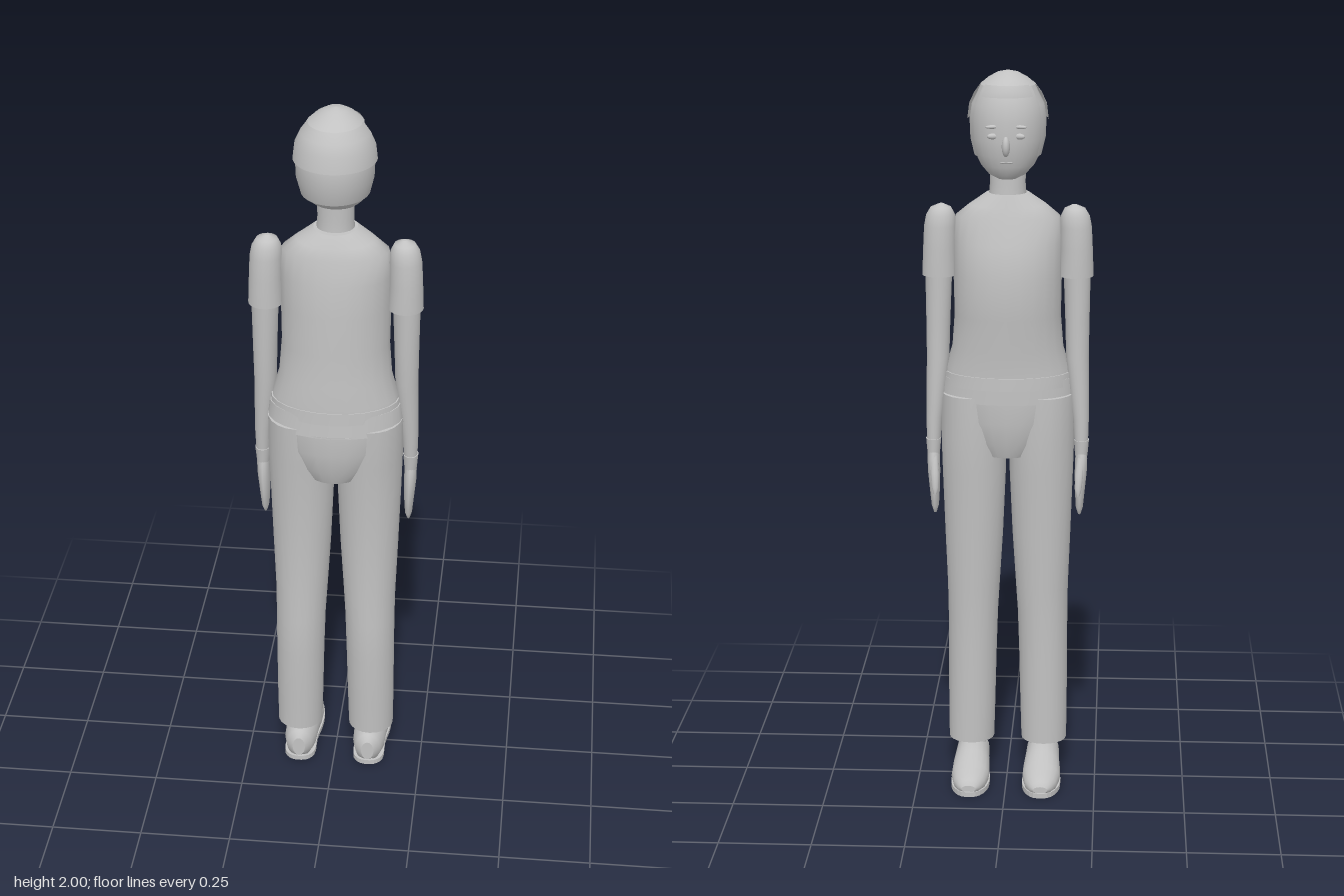
import * as THREE from 'three';

const grey = new THREE.MeshStandardMaterial({ color: 0xc2c2c2, side: THREE.DoubleSide });
grey.name = 'plain grey';

// Smooth skin over elliptical sections [y, cx, cz, rx, rz], listed upwards.
// Angle 0 points to +z; a partial arc gives an open shell.
function loft(sections, { sides = 20, from = 0, to = Math.PI * 2, caps = true } = {}) {
  const pos = [], idx = [];
  const full = to - from > 6.28;
  const n = full ? sides : sides + 1;
  const addRing = ([y, cx, cz, rx, rz]) => {
    const start = pos.length / 3;
    for (let j = 0; j < n; j++) {
      const t = from + ((to - from) * j) / sides;
      pos.push(cx + rx * Math.sin(t), y, cz + rz * Math.cos(t));
    }
    return start;
  };
  sections.forEach(addRing);
  for (let i = 0; i < sections.length - 1; i++) {
    for (let j = 0; j < sides; j++) {
      const k = (j + 1) % n;
      const a = i * n + j, b = i * n + k, c = a + n, d = b + n;
      idx.push(a, b, d, a, d, c);
    }
  }
  // Flat ends with their own vertices
  if (full && caps) {
    for (const [s, up] of [[sections[0], false], [sections[sections.length - 1], true]]) {
      const start = addRing(s);
      const mid = pos.length / 3;
      pos.push(s[1], s[0], s[2]);
      for (let j = 0; j < n; j++) {
        const a = start + j, b = start + ((j + 1) % n);
        if (up) idx.push(a, b, mid); else idx.push(b, a, mid);
      }
    }
  }
  const g = new THREE.BufferGeometry();
  g.setAttribute('position', new THREE.Float32BufferAttribute(pos, 3));
  g.setIndex(idx);
  g.computeVertexNormals();
  return g;
}

export function createModel() {
  const model = new THREE.Group();
  model.name = 'standingPerson';
  const add = (name, geometry, parent = model) => {
    const m = new THREE.Mesh(geometry, grey);
    m.name = name;
    parent.add(m);
    return m;
  };
  const ball = (name, p, r, parent) => {
    const m = add(name, new THREE.SphereGeometry(1, 14, 10), parent);
    m.position.set(...p);
    m.scale.set(...r);
    return m;
  };

  // Shirt, waistband and seat
  add('shirt', loft([
    [1.15, 0, 0.044, 0.172, 0.114], [1.19, 0, 0.045, 0.17, 0.115], [1.25, 0, 0.04, 0.152, 0.115],
    [1.34, 0, 0.034, 0.145, 0.118], [1.45, 0, 0.028, 0.147, 0.122], [1.54, 0, 0.036, 0.147, 0.108],
    [1.61, 0, 0.04, 0.142, 0.09], [1.64, 0, 0.04, 0.105, 0.079], [1.672, 0, 0.037, 0.058, 0.064],
  ], { sides: 24 }));
  add('shirtHem', loft([[1.145, 0, 0.044, 0.177, 0.119], [1.18, 0, 0.044, 0.174, 0.118]], { sides: 24 }));
  add('waistband', loft([[1.105, 0, 0.047, 0.185, 0.118], [1.165, 0, 0.045, 0.178, 0.116]], { sides: 24 }));
  add('seat', loft([
    [0.95, 0, 0.045, 0.085, 0.09], [0.99, 0, 0.046, 0.125, 0.105],
    [1.05, 0, 0.047, 0.162, 0.117], [1.11, 0, 0.047, 0.181, 0.118],
  ], { sides: 24 }));
  add('neck', loft([[1.65, 0, 0.036, 0.052, 0.05], [1.7, 0, 0.036, 0.048, 0.046], [1.79, 0, 0.04, 0.05, 0.048]]));

  // Head with face
  const head = new THREE.Group();
  head.name = 'head';
  model.add(head);
  add('skull', loft([
    [1.715, 0, 0.005, 0.025, 0.025], [1.727, 0, 0.014, 0.05, 0.053], [1.75, 0, 0.028, 0.072, 0.075],
    [1.78, 0, 0.042, 0.088, 0.1], [1.82, 0, 0.048, 0.098, 0.111], [1.87, 0, 0.049, 0.1, 0.111],
    [1.91, 0, 0.048, 0.094, 0.104], [1.95, 0, 0.046, 0.076, 0.086], [1.978, 0, 0.043, 0.05, 0.056],
    [1.99, 0, 0.04, 0.01, 0.01],
  ], { sides: 24 }), head);
  ball('nose', [0, 1.81, -0.073], [0.011, 0.027, 0.018], head);
  ball('mouth', [0, 1.765, -0.045], [0.024, 0.005, 0.008], head);
  for (const s of [1, -1]) {
    ball('eye', [s * 0.034, 1.835, -0.054], [0.017, 0.008, 0.008], head).rotation.y = s * 0.3;
    ball('eyebrow', [s * 0.036, 1.86, -0.055], [0.02, 0.005, 0.007], head).rotation.y = s * 0.3;
  }

  // Hair: short lower layer, longer back layer, crown and fringe
  const arc = (a) => ({ from: -a, to: a, sides: 24 });
  add('lowerHair', loft([
    [1.775, 0, 0.042, 0.09, 0.105], [1.82, 0, 0.048, 0.101, 0.114],
    [1.87, 0, 0.049, 0.103, 0.114], [1.91, 0, 0.048, 0.097, 0.107], [1.965, 0, 0.046, 0.07, 0.08],
  ], arc(2.05)), head);
  add('backHair', loft([
    [1.868, 0, 0.049, 0.109, 0.117], [1.91, 0, 0.048, 0.104, 0.111],
    [1.94, 0, 0.046, 0.09, 0.1], [1.966, 0, 0.044, 0.071, 0.083],
  ], arc(1.6)), head);
  add('crown', loft([
    [1.962, 0, 0.042, 0.074, 0.086], [1.98, 0, 0.039, 0.053, 0.064],
    [1.994, 0, 0.036, 0.028, 0.034], [2, 0, 0.035, 0.001, 0.001],
  ], { sides: 24, caps: false }), head);
  add('fringe', loft([
    [1.935, 0, 0.044, 0.089, 0.1], [1.95, 0, 0.044, 0.083, 0.097], [1.966, 0, 0.042, 0.073, 0.086],
  ], { from: Math.PI - 0.9, to: Math.PI + 0.9, sides: 16 }), head);

  // Limbs, mirrored left and right
  for (const s of [1, -1]) {
    const side = s > 0 ? 'left' : 'right';
    const limb = (name, rows, options) =>
      add(side + name, loft(rows.map(([y, x, ...rest]) => [y, s * x, ...rest]), options));

    limb('Sleeve', [
      [1.445, 0.186, 0.039, 0.047, 0.049], [1.52, 0.186, 0.039, 0.044, 0.049], [1.58, 0.184, 0.039, 0.043, 0.046],
      [1.61, 0.182, 0.039, 0.039, 0.041], [1.63, 0.181, 0.039, 0.028, 0.03], [1.64, 0.18, 0.039, 0.006, 0.006],
    ]);
    limb('Arm', [
      [0.97, 0.204, 0.015, 0.018, 0.022], [1.05, 0.202, 0.02, 0.022, 0.027], [1.15, 0.195, 0.026, 0.028, 0.032],
      [1.22, 0.191, 0.031, 0.031, 0.034], [1.32, 0.19, 0.036, 0.033, 0.037], [1.47, 0.188, 0.039, 0.037, 0.041],
    ]);
    limb('Wrist', [[0.945, 0.204, 0.014, 0.017, 0.023], [0.99, 0.204, 0.016, 0.021, 0.027]]);
    limb('Hand', [
      [0.78, 0.2, 0.005, 0.004, 0.01], [0.8, 0.2, 0.006, 0.01, 0.024], [0.85, 0.201, 0.007, 0.014, 0.035],
      [0.9, 0.203, 0.009, 0.017, 0.036], [0.935, 0.204, 0.012, 0.017, 0.029], [0.96, 0.204, 0.014, 0.016, 0.021],
    ], { sides: 14 });
    limb('Thumb', [
      [0.84, 0.197, -0.032, 0.004, 0.005], [0.86, 0.197, -0.029, 0.01, 0.01],
      [0.9, 0.199, -0.02, 0.012, 0.012], [0.945, 0.202, -0.002, 0.01, 0.01],
    ], { sides: 10 });

    limb('TrouserLeg', [
      [0.1, 0.103, 0.042, 0.064, 0.064], [0.2, 0.102, 0.044, 0.066, 0.067], [0.36, 0.1, 0.048, 0.068, 0.073],
      [0.48, 0.098, 0.047, 0.07, 0.075], [0.56, 0.096, 0.042, 0.073, 0.074], [0.72, 0.094, 0.039, 0.081, 0.08],
      [0.9, 0.093, 0.037, 0.088, 0.089], [1, 0.094, 0.04, 0.09, 0.1], [1.12, 0.096, 0.044, 0.088, 0.104],
    ]);
    limb('Ankle', [[0.05, 0.1, 0.045, 0.038, 0.042], [0.12, 0.1, 0.045, 0.036, 0.04]]);

    // Shoe skinned from heel to toe, flattened underneath
    const upper = loft([
      [-0.12, s * 0.1, 0.045, 0.018, 0.03], [-0.108, s * 0.1, 0.048, 0.036, 0.047], [-0.07, s * 0.1, 0.046, 0.046, 0.054],
      [-0.01, s * 0.1, 0.044, 0.048, 0.054], [0.04, s * 0.1, 0.036, 0.052, 0.05], [0.09, s * 0.1, 0.028, 0.053, 0.041],
      [0.135, s * 0.1, 0.024, 0.044, 0.032], [0.16, s * 0.1, 0.023, 0.031, 0.022], [0.169, s * 0.1, 0.022, 0.02, 0.01],
    ]);
    upper.rotateX(-Math.PI / 2);
    const p = upper.attributes.position;
    for (let i = 0; i < p.count; i++) p.setY(i, Math.max(p.getY(i), 0.01));
    upper.computeVertexNormals();
    add(side + 'Shoe', upper);

    const outline = new THREE.CatmullRomCurve3([
      [0.02, -0.12], [0.042, -0.095], [0.044, -0.02], [0.054, 0.06], [0.047, 0.13], [0.02, 0.17],
      [-0.02, 0.17], [-0.047, 0.13], [-0.054, 0.06], [-0.044, -0.02], [-0.042, -0.095], [-0.02, -0.12],
    ].map(([x, l]) => new THREE.Vector3(x, l, 0)), true).getPoints(36);
    const sole = new THREE.ExtrudeGeometry(
      new THREE.Shape(outline.map((v) => new THREE.Vector2(v.x, v.y))),
      { depth: 0.014, bevelEnabled: false });
    sole.rotateX(-Math.PI / 2);
    sole.translate(s * 0.1, 0, 0);
    add(side + 'Sole', sole);
  }
  return model;
}
